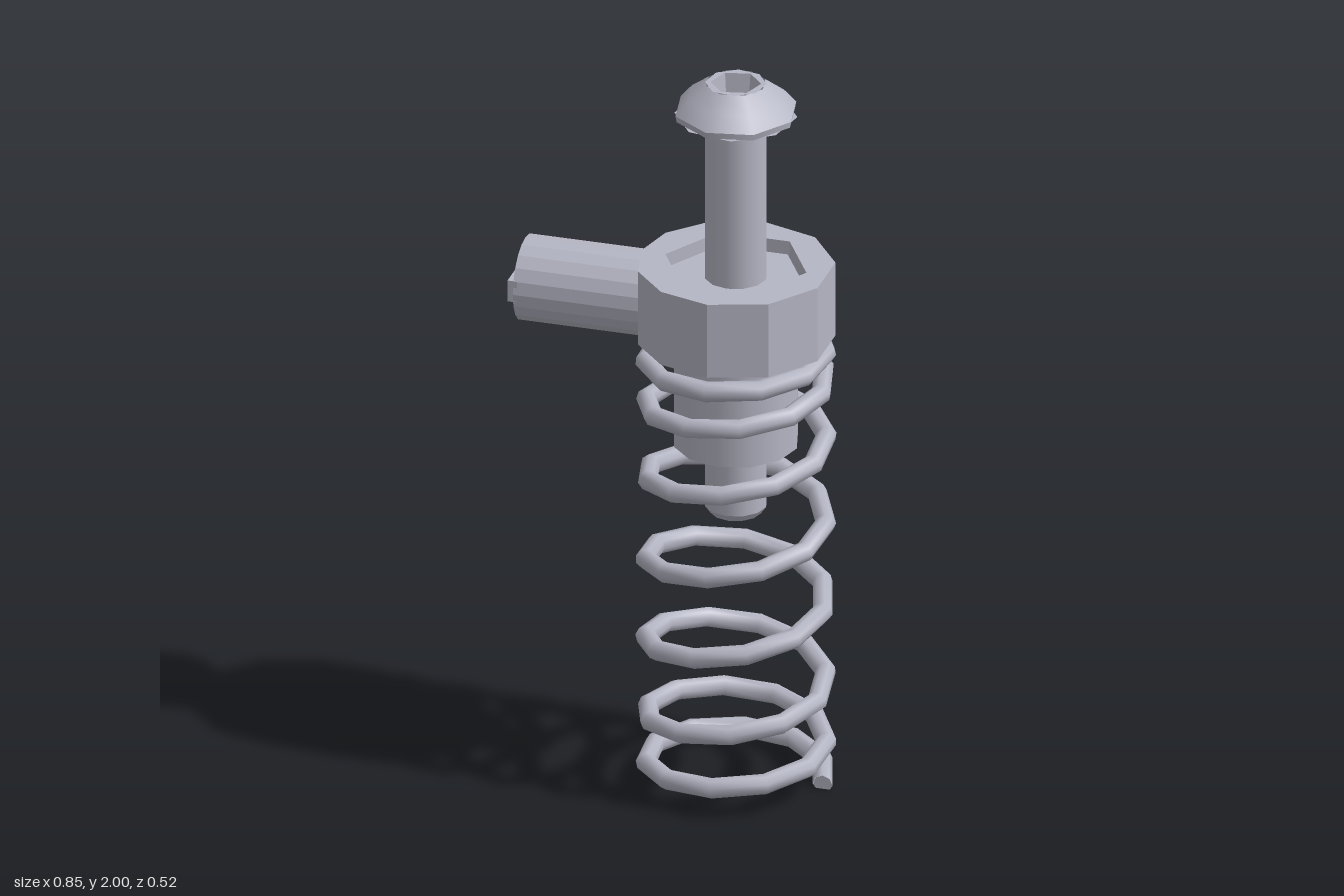
import * as THREE from 'three';

const AXIS_X = 0.16; // plunger axis

export function createModel() {
  const model = new THREE.Group();
  model.name = 'springPlunger';
  const steel = new THREE.MeshStandardMaterial({ color: 0xb5b6c4, side: THREE.DoubleSide });
  steel.name = 'steel grey';

  const add = (name, geometry, x = 0, y = 0, z = 0) => {
    const mesh = new THREE.Mesh(geometry, steel);
    mesh.name = name;
    mesh.position.set(x, y, z);
    model.add(mesh);
    return mesh;
  };
  const polar = (r, deg) => {
    const a = THREE.MathUtils.degToRad(deg);
    return new THREE.Vector2(r * Math.cos(a), r * Math.sin(a));
  };
  const ring = (r, n, start = 0) =>
    Array.from({ length: n }, (_, i) => polar(r, start + (i * 360) / n));
  // upright prism from a plan outline
  const prism = (shape, y0, y1) =>
    new THREE.ExtrudeGeometry(shape, { depth: y1 - y0, bevelEnabled: false })
      .rotateX(-Math.PI / 2).translate(0, y0, 0);

  // Collar with a hexagonal pocket
  const collar = new THREE.Shape(
    [-152, -122, -90, -54, -18, 18, 54, 90, 122, 152, 180].map(a => polar(0.258, a)));
  collar.holes.push(new THREE.Path(ring(0.191, 6).reverse()));
  add('collar', prism(collar, 1.27, 1.48), AXIS_X);

  // Guide bushing: hexagonal head in the pocket, round sleeve below
  add('bushingHead', prism(new THREE.Shape(ring(0.184, 6)), 1.27, 1.445), AXIS_X);
  add('bushingSleeve', new THREE.CylinderGeometry(0.165, 0.165, 0.31, 12), AXIS_X, 1.125);

  // Bolt shank with a chamfered tip
  add('boltShank', new THREE.CylinderGeometry(0.082, 0.082, 1.125, 12), AXIS_X, 1.3525);
  add('boltTip', new THREE.CylinderGeometry(0.082, 0.068, 0.02, 12), AXIS_X, 0.78);

  // Button head with a hexagonal socket
  const headStart = THREE.MathUtils.degToRad(33);
  const dome = [[0.163, 1.925], [0.13, 1.963], [0.08, 2]].map(p => new THREE.Vector2(...p));
  add('boltHeadDome', new THREE.LatheGeometry(dome, 8, headStart), AXIS_X);
  add('boltHeadRim', new THREE.CylinderGeometry(0.163, 0.16, 0.017, 8, 1, true, headStart), AXIS_X, 1.9165);
  add('boltHeadUnderside', new THREE.CircleGeometry(0.16, 8, headStart - Math.PI / 2)
    .rotateX(Math.PI / 2), AXIS_X, 1.908);
  const top = new THREE.Shape(ring(0.08, 8, 12));
  top.holes.push(new THREE.Path(ring(0.066, 6, 12).reverse()));
  add('boltHeadTop', new THREE.ShapeGeometry(top).rotateX(-Math.PI / 2), AXIS_X, 2);
  const socket = new THREE.CylinderGeometry(0.066, 0.06, 0.06, 6, 1, true).toNonIndexed();
  socket.rotateY(THREE.MathUtils.degToRad(-78)).computeVertexNormals();
  add('socketWall', socket, AXIS_X, 1.97);
  add('socketFloor', new THREE.CircleGeometry(0.066, 6).rotateX(-Math.PI / 2), AXIS_X, 1.94);

  // Side arm: round bar with a flattened underside and a tongue across its end
  const armOutline = ring(0.114, 20).map(p => p.setY(Math.max(p.y, -0.092)));
  const arm = new THREE.ExtrudeGeometry(new THREE.Shape(armOutline), { depth: 0.345, bevelEnabled: false });
  arm.rotateY(-Math.PI / 2);
  add('sideArm', arm, -0.065, 1.362);
  add('armTongue', new THREE.BoxGeometry(0.025, 0.06, 0.222), -0.4125, 1.37);

  // Spring: heights at each half turn give tight ends and an open middle
  const heights = [0.012, 0.05, 0.105, 0.18, 0.275, 0.39, 0.51, 0.625, 0.74,
    0.865, 0.97, 1.07, 1.145, 1.2, 1.235, 1.25];
  class Coil extends THREE.Curve {
    getPoint(t, target = new THREE.Vector3()) {
      const h = t * (heights.length - 1);
      const i = Math.min(Math.floor(h), heights.length - 2);
      const y = THREE.MathUtils.lerp(heights[i], heights[i + 1], h - i);
      const a = h * Math.PI;
      return target.set(0.235 * Math.cos(a), y, -0.235 * Math.sin(a));
    }
  }
  const coil = new Coil();
  coil.arcLengthDivisions = 600;
  const spring = new THREE.TubeGeometry(coil, 80, 0.027, 8);
  const pos = spring.attributes.position;
  // grind the lower end flat and seat the upper end under the collar
  for (let i = 0; i < pos.count; i++) pos.setY(i, THREE.MathUtils.clamp(pos.getY(i), 0, 1.272));
  add('spring', spring, AXIS_X);
  const cap = new THREE.CircleGeometry(0.026, 8);
  const capPos = cap.attributes.position;
  for (let i = 0; i < capPos.count; i++) capPos.setY(i, Math.max(capPos.getY(i), -0.012));
  add('springEnd', cap, AXIS_X + 0.235, 0.012, 0);

  return model;
}
